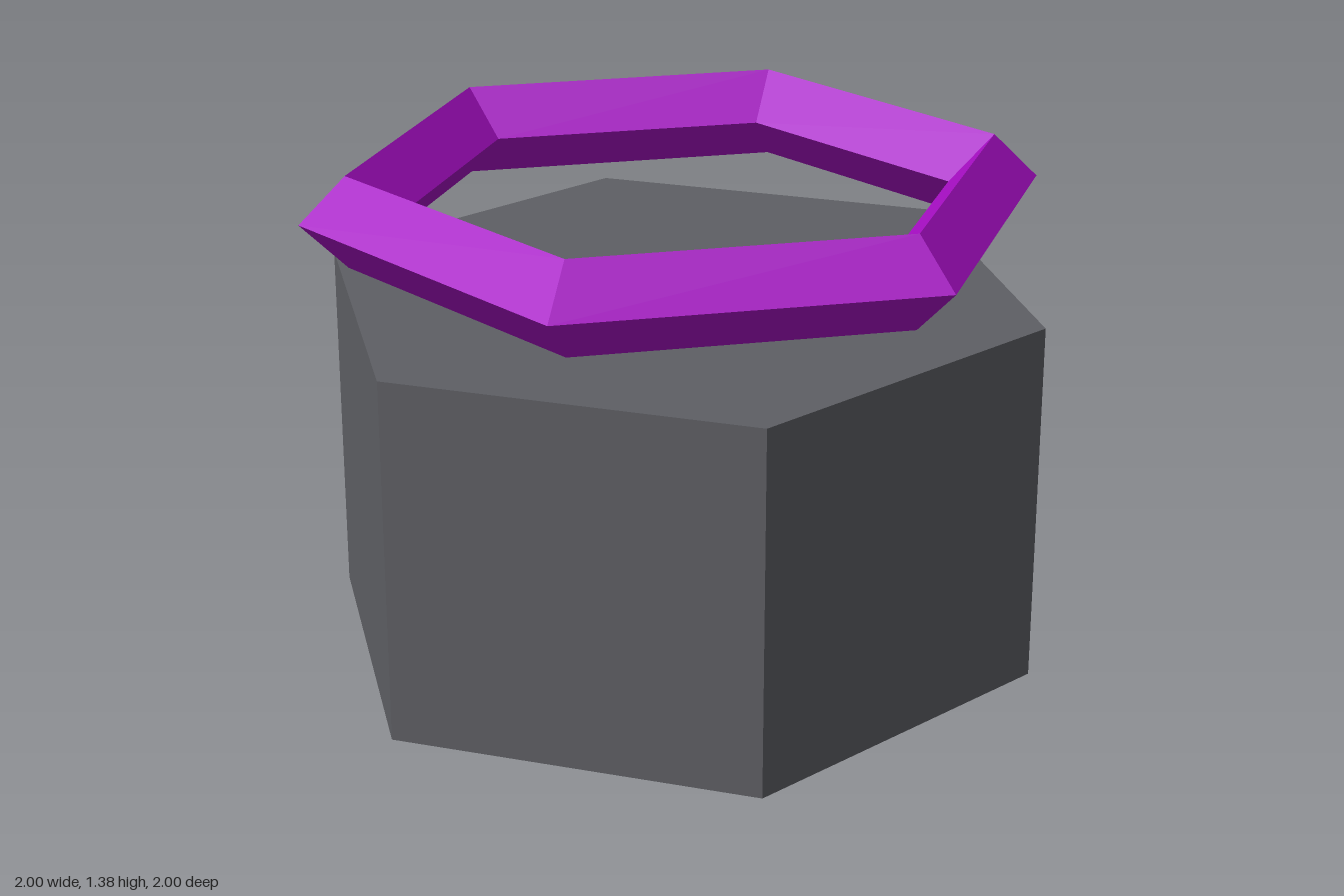
import * as THREE from 'three';

export function createModel() {
  const model = new THREE.Group();

  const slate = new THREE.MeshStandardMaterial({ color: 0x5e5f64, flatShading: true });
  slate.name = 'slate grey';
  const purple = new THREE.MeshStandardMaterial({ color: 0xa80ec6, flatShading: true });
  purple.name = 'purple';

  // Solid hexagonal base, corners pointing to front and back
  const base = new THREE.Mesh(new THREE.CylinderGeometry(1, 1, 1, 6), slate);
  base.name = 'base';
  base.position.y = 0.5;
  model.add(base);

  // Floating hexagonal ring with a diamond section, corners pointing to the sides
  const ring = new THREE.Mesh(new THREE.TorusGeometry(0.875, 0.125, 4, 6), purple);
  ring.name = 'floatingRing';
  ring.rotation.x = Math.PI / 2;
  ring.position.y = 1.25;
  model.add(ring);

  return model;
}
